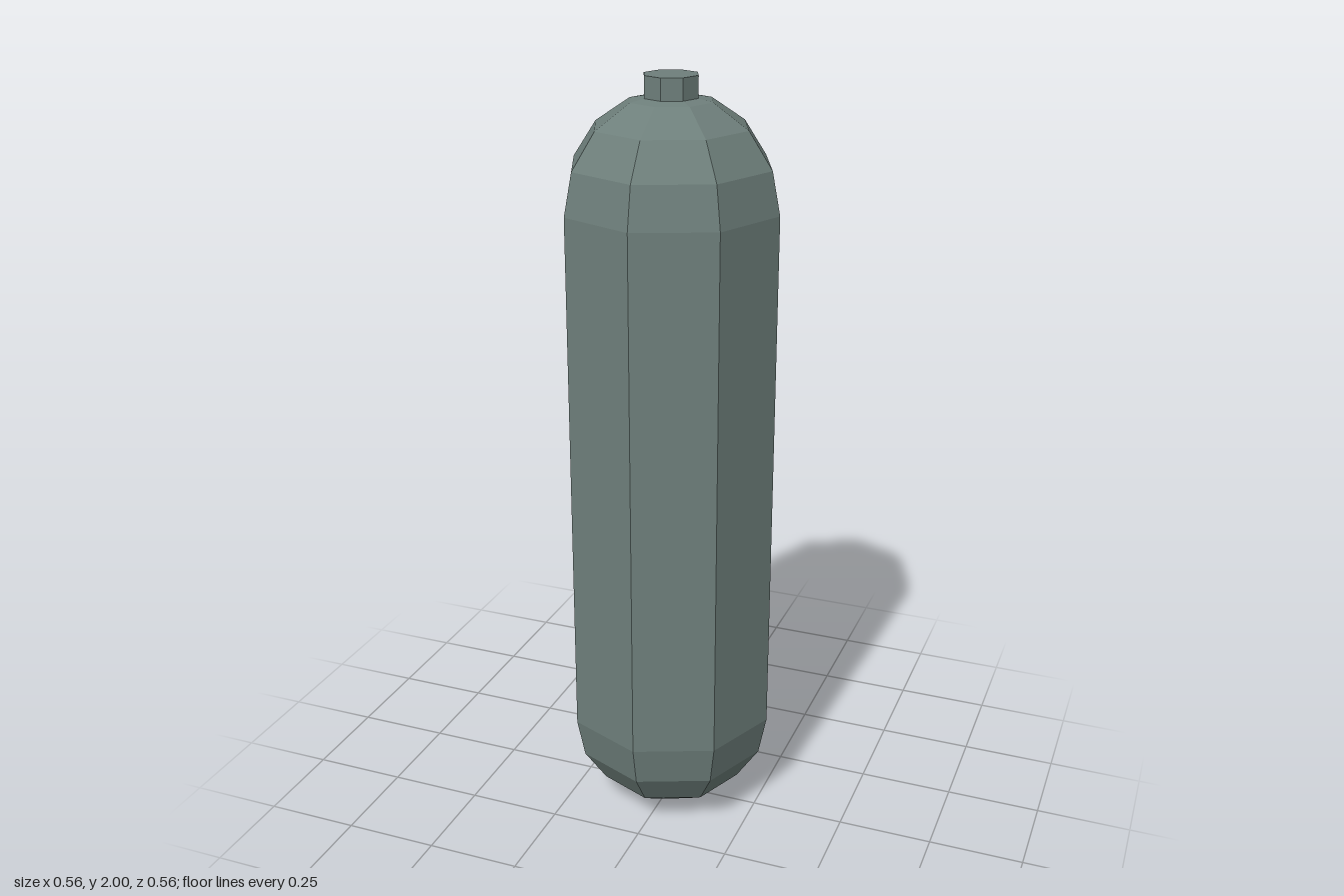
import * as THREE from 'three';

export function createModel() {
  const model = new THREE.Group();
  model.name = 'gasCylinder';

  const paint = new THREE.MeshStandardMaterial({ color: 0x6e7f7b, flatShading: true });
  paint.name = 'greyGreenPaint';

  const radius = 0.28, length = 1.4, sides = 8;

  // Tank: eight-sided body with rounded ends, standing on the ground
  const tank = new THREE.Mesh(new THREE.CapsuleGeometry(radius, length, 4, sides), paint);
  tank.name = 'tank';
  tank.position.y = radius + length / 2;

  // Neck: short stub on top, sunk slightly into the dome
  const neckHeight = 0.1;
  const neck = new THREE.Mesh(new THREE.CylinderGeometry(0.07, 0.07, neckHeight, sides), paint);
  neck.name = 'neck';
  neck.position.y = 2 - neckHeight / 2;

  model.add(tank, neck);
  return model;
}
